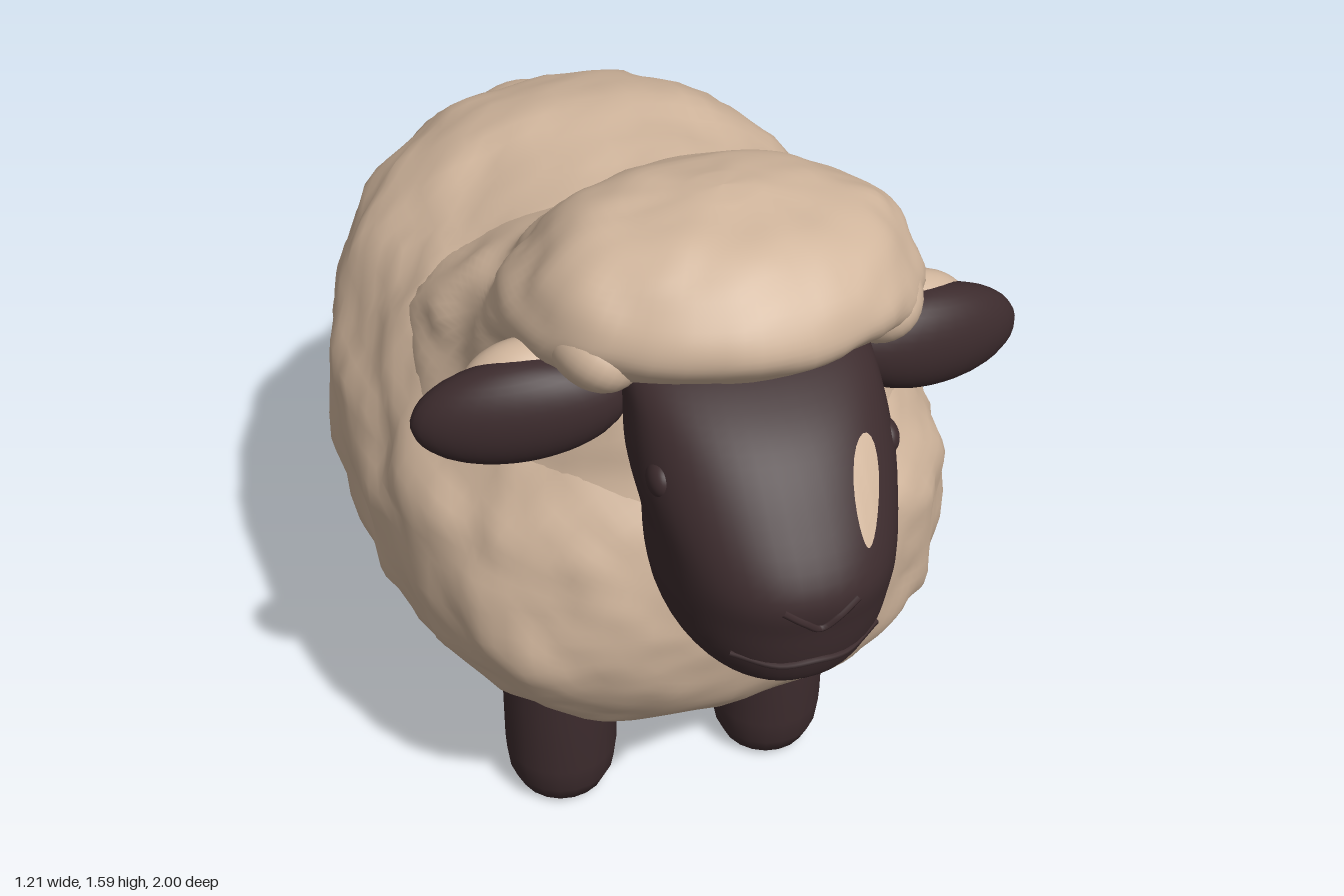
import * as THREE from 'three';

const wool = new THREE.MeshStandardMaterial({ color: 0xd0b59c });
wool.name = 'wool';
const skin = new THREE.MeshStandardMaterial({ color: 0x3c2b2d });
skin.name = 'darkSkin';

// Seeded 3D value noise in the range -1..1
function hash(x, y, z) {
  const s = Math.sin(x * 127.1 + y * 311.7 + z * 74.7 + 5.3) * 43758.5453;
  return s - Math.floor(s);
}
function noise(x, y, z) {
  const f = [x, y, z].map(Math.floor);
  const t = [x - f[0], y - f[1], z - f[2]].map((v) => v * v * (3 - 2 * v));
  let sum = 0;
  for (let c = 0; c < 8; c++) {
    const b = [c & 1, (c >> 1) & 1, c >> 2];
    const w = b.reduce((p, v, k) => p * (v ? t[k] : 1 - t[k]), 1);
    sum += w * hash(f[0] + b[0], f[1] + b[1], f[2] + b[2]);
  }
  return sum * 2 - 1;
}

// Push the surface in and out to make tufts of fleece, strongest on the sides
function fluff(geo, amount, cell) {
  const p = geo.attributes.position;
  const n = geo.attributes.normal;
  for (let i = 0; i < p.count; i++) {
    const [x, y, z] = [p.getX(i), p.getY(i), p.getZ(i)];
    const d = noise(x / cell, y / cell, z / cell) + 0.5 * noise(x / cell * 2.1, y / cell * 2.1, z / cell * 2.1);
    const k = amount * d * (0.4 + 0.6 * Math.abs(n.getX(i)));
    p.setXYZ(i, x + n.getX(i) * k, y + n.getY(i) * k, z + n.getZ(i) * k);
  }
  geo.computeVertexNormals();
  return geo;
}

function catmull(a, b, c, d, t) {
  const v0 = (c - a) / 2, v1 = (d - b) / 2;
  return (2 * b - 2 * c + v0 + v1) * t ** 3 + (-3 * b + 3 * c - 2 * v0 - v1) * t * t + v0 * t + b;
}

// Closed skin through rounded sections [position, low, high, halfWidth] along 'y' or 'z';
// the two powers set how square each section is on its two halves
function loft(axis, sections, powers, around, steps) {
  const pos = [], index = [];
  const last = sections.length - 1;
  const at = (i) => sections[Math.min(last, Math.max(0, i))];
  const rings = last * steps + 3;
  for (let r = 0; r < rings; r++) {
    const u = Math.min(last, Math.max(0, (r - 1) / steps));
    const i = Math.min(last - 1, Math.floor(u));
    const [s, lo, hi, w] = [0, 1, 2, 3].map((k) => catmull(at(i - 1)[k], at(i)[k], at(i + 1)[k], at(i + 2)[k], u - i));
    const size = r === 0 || r === rings - 1 ? 0.001 : 1;
    for (let j = 0; j < around; j++) {
      const a = (j / around) * Math.PI * 2;
      const power = powers[j <= around / 2 ? 0 : 1];
      const round = (v) => Math.sign(v) * Math.abs(v) ** (2 / power) * size;
      const x = Math.max(0, w) * round(Math.cos(a));
      const h = (hi - lo) / 2 * round(Math.sin(a));
      const mid = (hi + lo) / 2;
      if (axis === 'z') pos.push(x, mid + h, s);
      else pos.push(x, s, mid - h);
      if (r < rings - 1) {
        const k = r * around, j2 = (j + 1) % around;
        index.push(k + j, k + j2, k + around + j2, k + j, k + around + j2, k + around + j);
      }
    }
  }
  const geo = new THREE.BufferGeometry();
  geo.setAttribute('position', new THREE.Float32BufferAttribute(pos, 3));
  geo.setIndex(index);
  geo.computeVertexNormals();
  return geo;
}

export function createModel() {
  const model = new THREE.Group();
  model.name = 'sheep';
  const add = (name, geo, mat) => {
    const mesh = new THREE.Mesh(geo, mat);
    mesh.name = name;
    model.add(mesh);
    return mesh;
  };
  const ball = (rx, ry, rz) => new THREE.SphereGeometry(1, 28, 20).scale(rx, ry, rz);

  // Fleecy body, from rump to chest
  add('body', fluff(loft('z', [
    [-0.905, 0.70, 0.80, 0.04], [-0.885, 0.54, 0.95, 0.18], [-0.84, 0.43, 1.08, 0.31],
    [-0.75, 0.34, 1.18, 0.42], [-0.6, 0.27, 1.28, 0.515], [-0.4, 0.22, 1.335, 0.575],
    [-0.2, 0.18, 1.325, 0.595], [0, 0.23, 1.31, 0.585], [0.2, 0.28, 1.28, 0.56],
    [0.4, 0.35, 1.22, 0.51], [0.52, 0.43, 1.14, 0.44], [0.6, 0.53, 1.04, 0.34],
    [0.65, 0.64, 0.94, 0.21], [0.67, 0.74, 0.82, 0.04],
  ], [2.15, 2.45], 88, 5), 0.02, 0.115), wool);

  // Neck wool flaring into the back and rising to the cap with its overhanging fringe
  add('neckAndCap', fluff(loft('y', [
    [0.62, 0, 0.62, 0.40], [0.72, -0.1, 0.65, 0.46], [0.85, -0.2, 0.66, 0.49],
    [0.98, -0.3, 0.63, 0.5], [1.09, -0.34, 0.6, 0.475], [1.18, -0.3, 0.59, 0.44],
    [1.25, -0.17, 0.59, 0.41], [1.305, -0.02, 0.615, 0.385], [1.345, 0.06, 0.715, 0.375],
    [1.4, 0.12, 0.765, 0.365], [1.46, 0.18, 0.755, 0.335], [1.52, 0.25, 0.7, 0.285],
    [1.56, 0.33, 0.62, 0.2], [1.58, 0.43, 0.52, 0.05],
  ], [2.05, 2.05], 76, 5), 0.018, 0.115), wool);

  // Stub tail swelling out of the rump
  add('tail', loft('z', [
    [-1.0, 0.98, 1.02, 0.03], [-0.985, 0.92, 1.07, 0.08], [-0.94, 0.85, 1.11, 0.13],
    [-0.88, 0.76, 1.135, 0.205], [-0.8, 0.7, 1.155, 0.28], [-0.7, 0.68, 1.18, 0.31],
  ], [2, 2], 36, 4), wool);

  // Face with sloping forehead and blunt muzzle
  const face = add('face', loft('y', [
    [0.865, 0.6, 0.88, 0.09], [0.885, 0.54, 0.94, 0.145], [0.94, 0.5, 0.97, 0.185],
    [1.02, 0.49, 0.985, 0.203], [1.1, 0.48, 0.99, 0.208], [1.2, 0.46, 0.92, 0.224],
    [1.29, 0.46, 0.835, 0.22], [1.35, 0.46, 0.74, 0.21], [1.39, 0.48, 0.64, 0.17],
  ], [2.2, 2.2], 48, 5), skin);

  // Point on the front of the face at a given x and y
  face.updateMatrixWorld();
  const ray = new THREE.Raycaster();
  const onFace = (x, y, lift) => {
    ray.set(new THREE.Vector3(x, y, 2), new THREE.Vector3(0, 0, -1));
    const hit = ray.intersectObject(face)[0];
    return new THREE.Vector3(x, y, (hit ? hit.point.z : 0.8) + lift);
  };

  // Pale teardrop blaze on the left of the forehead
  const blaze = new THREE.RingGeometry(0.001, 1, 24, 5);
  const bp = blaze.attributes.position;
  for (let i = 0; i < bp.count; i++) {
    const v = bp.getY(i);
    const q = onFace(0.112 + bp.getX(i) * (0.027 + 0.008 * v) + v * 0.016, 1.217 + v * 0.067, 0.006);
    bp.setXYZ(i, q.x, q.y, q.z);
  }
  blaze.computeVertexNormals();
  add('blaze', blaze, wool);

  // Nose crease and mouth line
  const line = (name, pts) => add(name, new THREE.TubeGeometry(
    new THREE.CatmullRomCurve3(pts.map(([x, y]) => onFace(x, y, 0))), 24, 0.007, 6), skin);
  line('noseCrease', [[-0.065, 1.085], [-0.03, 1.06], [0, 1.04], [0.03, 1.06], [0.065, 1.085]]);
  line('mouth', [[-0.13, 0.965], [-0.06, 0.952], [0, 0.957], [0.06, 0.952], [0.13, 0.965]]);

  // Leg profile: rounded foot, straight shaft
  const legProfile = [[0, 0], [0.065, 0], [0.095, 0.018], [0.114, 0.06], [0.121, 0.12], [0.121, 0.28], [0.115, 0.48]]
    .map(([x, y]) => new THREE.Vector2(x, y));

  for (const side of [1, -1]) {
    const label = side > 0 ? 'left' : 'right';
    add(label + 'Eye', ball(0.022, 0.032, 0.035).translate(side * 0.2, 1.22, 0.755), skin);

    // Lock of fringe hanging at the temple
    add(label + 'FringeLock', ball(0.085, 0.075, 0.12).rotateZ(side * 0.5).translate(side * 0.25, 1.375, 0.55), wool);

    // Dark ear swept back, with wool over the back of its base
    add(label + 'Ear', ball(0.187, 0.098, 0.07).rotateZ(-side * 0.13).rotateY(side * 0.2)
      .translate(side * 0.378, 1.248, 0.537), skin);
    add(label + 'EarWool', ball(0.13, 0.106, 0.075).rotateY(side * 0.15).translate(side * 0.345, 1.257, 0.505), wool);

    for (const [name, z, cuffY] of [['FrontLeg', 0.205, 0.415], ['BackLeg', -0.54, 0.4]]) {
      add(label + name, new THREE.LatheGeometry(legProfile, 20).translate(side * 0.237, 0, z), skin);
      // Wool bulging over the top of the leg
      add(label + name + 'Cuff', fluff(ball(0.175, 0.1, 0.165).translate(side * 0.24, cuffY, z), 0.01, 0.1), wool);
    }
  }
  return model;
}
